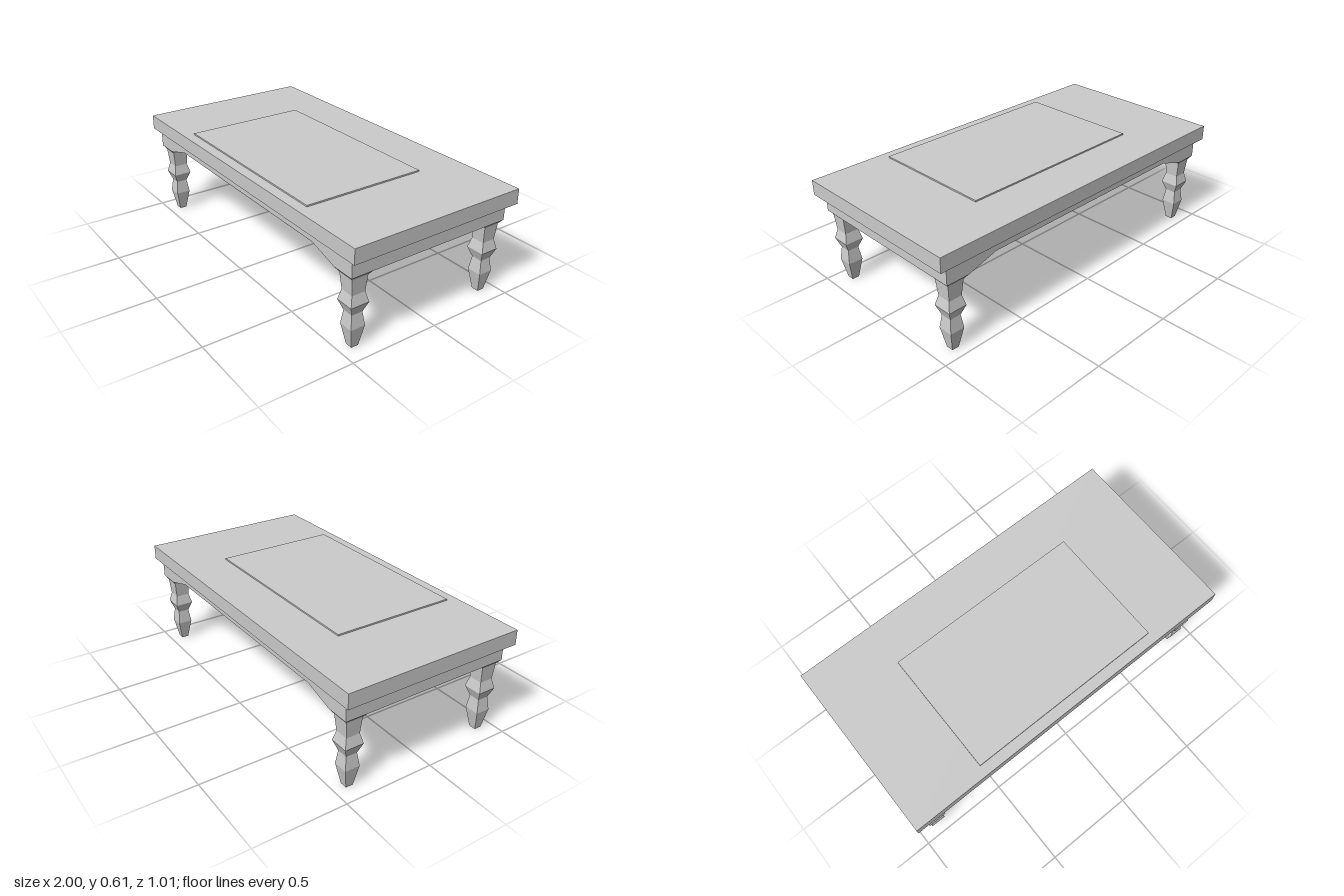
import * as THREE from 'three';

export function createModel() {
  const model = new THREE.Group();
  const material = new THREE.MeshStandardMaterial({ color: 0xcccccc, flatShading: true });

  const add = (name, geometry, x = 0, y = 0, z = 0) => {
    const mesh = new THREE.Mesh(geometry, material);
    mesh.name = name;
    mesh.position.set(x, y, z);
    model.add(mesh);
  };

  // Table top with a thin raised panel, set towards the front
  add('tableTop', new THREE.BoxGeometry(2, 0.082, 1.014), 0, 0.556, 0);
  add('topPanel', new THREE.BoxGeometry(1.13, 0.008, 0.697), 0, 0.601, 0.1);

  // Solid apron whose underside slopes down towards the legs
  const depth = 0.96;
  const outline = [
    [-0.95, 0.413], [-0.82, 0.413], [-0.65, 0.463], [0.65, 0.463],
    [0.82, 0.413], [0.95, 0.413], [0.95, 0.515], [-0.95, 0.515],
  ];
  const apronShape = new THREE.Shape(outline.map(([x, y]) => new THREE.Vector2(x, y)));
  const apron = new THREE.ExtrudeGeometry(apronShape, { depth, bevelEnabled: false });
  add('apron', apron, 0, 0, -depth / 2);

  // Square turned legs: half width and height of each section
  const profile = [
    [0, 0], [0.02, 0], [0.041, 0.115], [0.031, 0.19], [0.052, 0.245],
    [0.038, 0.3], [0.046, 0.39], [0.063, 0.413], [0, 0.413],
  ].map(([half, y]) => new THREE.Vector2(half * Math.SQRT2, y));
  const leg = new THREE.LatheGeometry(profile, 4, Math.PI / 4);
  for (const [side, sx] of [['Left', 1], ['Right', -1]]) {
    for (const [end, sz] of [['front', 1], ['back', -1]]) {
      add(`${end}${side}Leg`, leg, sx * 0.885, 0, sz * 0.417);
    }
  }

  return model;
}
